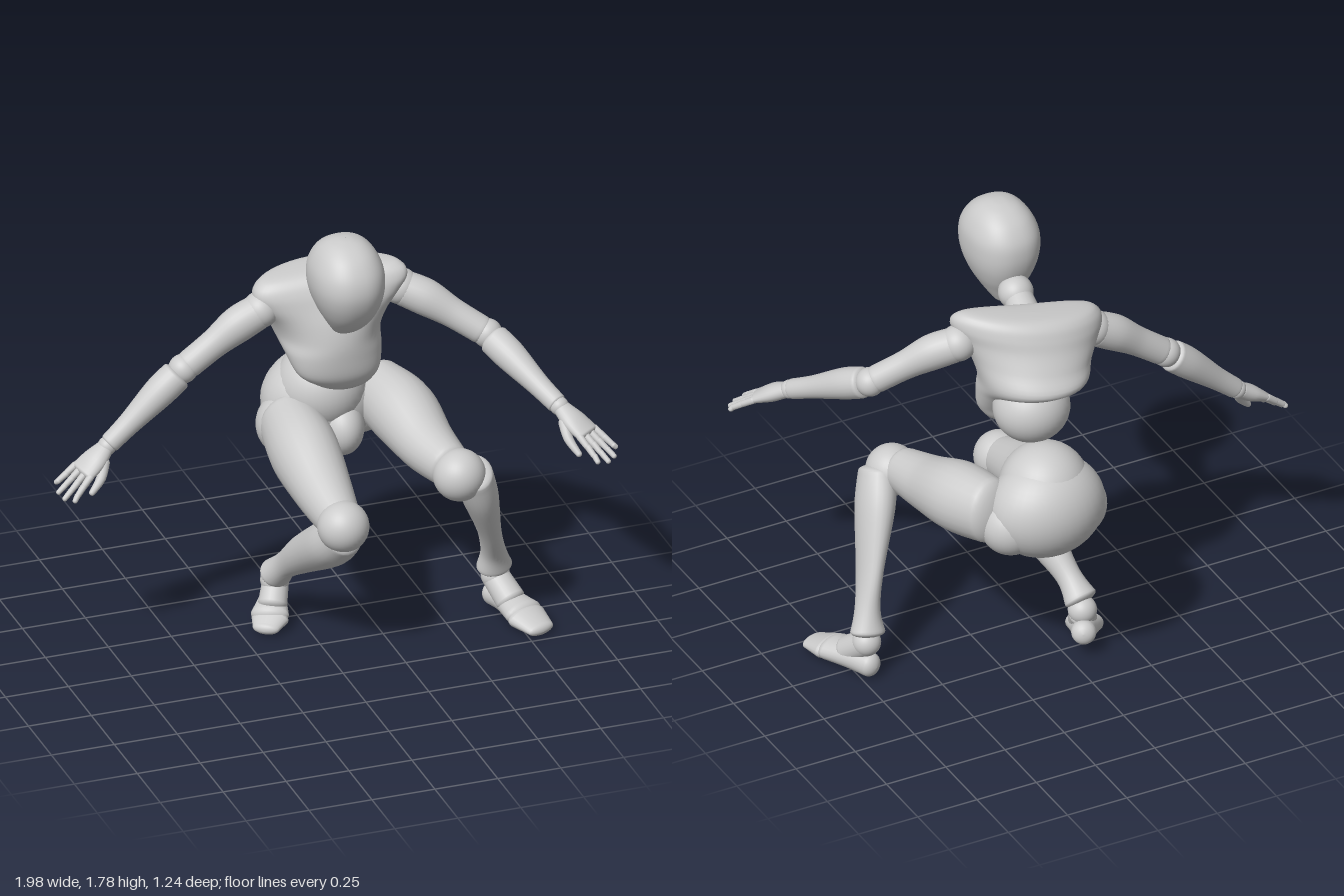
import * as THREE from 'three';

const material = new THREE.MeshStandardMaterial({ color: 0xcccccc, side: THREE.DoubleSide });
const V = (p) => new THREE.Vector3(p[0], p[1], p[2]);

// Smooth value of a list of stations (equal-length rows) at t in 0..1
function sample(rows, t) {
  const n = rows.length - 1;
  const f = Math.min(t * n, n - 1e-6);
  const i = Math.floor(f), u = f - i;
  const at = (k) => rows[Math.max(0, Math.min(n, k))];
  return rows[0].map((_, c) => {
    const p0 = at(i - 1)[c], p1 = at(i)[c], p2 = at(i + 1)[c], p3 = at(i + 2)[c];
    return 0.5 * (2 * p1 + (p2 - p0) * u + (2 * p0 - 5 * p1 + 4 * p2 - p3) * u * u
      + (3 * p1 - p0 - 3 * p2 + p3) * u * u * u);
  });
}

// Skin a list of rings { c, u, v } into one smooth closed surface; power below 1 squares the rings
function skin(name, rings, seg, power = 1, warp = () => {}) {
  const pos = [], index = [];
  const bulge = (k) => Math.sign(k) * Math.abs(k) ** power;
  rings.forEach(({ c, u, v }) => {
    for (let j = 0; j < seg; j++) {
      const a = (j / seg) * Math.PI * 2;
      const p = c.clone().addScaledVector(u, bulge(Math.cos(a))).addScaledVector(v, bulge(Math.sin(a)));
      warp(p);
      pos.push(p.x, p.y, p.z);
    }
  });
  for (let i = 0; i < rings.length - 1; i++) {
    for (let j = 0; j < seg; j++) {
      const a = i * seg + j, b = i * seg + ((j + 1) % seg);
      index.push(a, b, b + seg, a, b + seg, a + seg);
    }
  }
  const geo = new THREE.BufferGeometry();
  geo.setAttribute('position', new THREE.Float32BufferAttribute(pos, 3));
  geo.setIndex(index);
  geo.computeVertexNormals();
  const mesh = new THREE.Mesh(geo, material);
  mesh.name = name;
  return mesh;
}

// Limb: stations [x, y, z, halfWidth, halfDepth], width along `side`, with domed ends
function limb(name, stations, side = [1, 0, 0], cap = 0.5, steps = 24, seg = 24) {
  const rings = [], ref = V(side);
  const add = (t, shift, scale) => {
    const s = sample(stations, t);
    const tan = V(sample(stations, Math.min(1, t + 0.01)))
      .sub(V(sample(stations, Math.max(0, t - 0.01)))).normalize();
    const u = ref.clone().addScaledVector(tan, -ref.dot(tan)).normalize();
    const v = tan.clone().cross(u);
    const c = V(s).addScaledVector(tan, shift * cap * Math.min(s[3], s[4]));
    rings.push({ c, u: u.multiplyScalar(s[3] * scale), v: v.multiplyScalar(s[4] * scale) });
  };
  const domeSteps = 6;
  for (let k = domeSteps; k > 0; k--) {
    const a = (k / domeSteps) * Math.PI / 2;
    add(0, -Math.sin(a), Math.max(Math.cos(a), 0.001));
  }
  for (let k = 0; k <= steps; k++) add(k / steps, 0, 1);
  for (let k = 1; k <= domeSteps; k++) {
    const a = (k / domeSteps) * Math.PI / 2;
    add(1, Math.sin(a), Math.max(Math.cos(a), 0.001));
  }
  return skin(name, rings, seg);
}

// Body block from level slices [y, centreX, halfWidth, frontZ, backZ]
function slices(name, rows, power, warp) {
  const rings = [], steps = 60;
  for (let k = 0; k <= steps; k++) {
    const [y, x, w, f, b] = sample(rows, k / steps);
    rings.push({
      c: new THREE.Vector3(x, y, (f + b) / 2),
      u: new THREE.Vector3(Math.max(w, 0.001), 0, 0),
      v: new THREE.Vector3(0, 0, -Math.max((f - b) / 2, 0.001)),
    });
  }
  return skin(name, rings, 48, power, warp);
}

function ball(name, p, rx, ry = rx, rz = rx) {
  const mesh = new THREE.Mesh(new THREE.SphereGeometry(1, 36, 24), material);
  mesh.name = name;
  mesh.position.set(...p);
  mesh.scale.set(rx, ry, rz);
  return mesh;
}

// Hand: palm, four jointed fingers and a thumb on the -across side
function hand(name, wrist, tip, across) {
  const group = new THREE.Group();
  group.name = name;
  const w = V(wrist), f = V(tip).sub(w), len = f.length();
  f.normalize();
  const s = V(across);
  s.addScaledVector(f, -s.dot(f)).normalize();
  const side = s.toArray();
  const down = new THREE.Vector3().crossVectors(f, s);
  if (down.y > 0) down.negate();
  const at = (a, b, c = 0) => w.clone().addScaledVector(f, a * len).addScaledVector(s, b)
    .addScaledVector(down, c).toArray();
  group.add(limb('palm', [
    [...at(0.06, 0), 0.036, 0.03], [...at(0.28, -0.003), 0.052, 0.033], [...at(0.52, 0), 0.056, 0.022],
  ], side, 0.6, 12));
  for (let i = 0; i < 4; i++) {
    const b = (i - 1.5) * 0.029, spread = 1.4, reach = [0.95, 1.02, 1, 0.9][i];
    const joints = [0.52, 0.7, 0.85, reach];
    for (let k = 0; k < 3; k++) {
      const p = at(joints[k], b * (1 + (spread - 1) * k / 3), 0.004 * k);
      const q = at(joints[k + 1] - 0.02, b * (1 + (spread - 1) * (k + 1) / 3), 0.004 * (k + 1));
      const r = 0.0145 - k * 0.0015;
      group.add(limb('finger', [[...p, r, r], [...q, r * 0.88, r * 0.88]], side, 0.9, 3, 12));
    }
  }
  group.add(limb('thumb', [
    [...at(0.22, -0.035, 0.012), 0.022, 0.022], [...at(0.42, -0.062, 0.03), 0.019, 0.018],
    [...at(0.66, -0.07, 0.042), 0.012, 0.012],
  ], side, 0.9, 8, 14));
  return group;
}

// Arm: shoulder, upper arm, elbow, forearm and wrist
function arm(name, shoulder, elbow, wrist, tip, across) {
  const group = new THREE.Group();
  group.name = name;
  const span = (a, b, rows) => rows.map(([t, r, q, lift]) => {
    const p = V(a).lerp(V(b), t);
    return [p.x, p.y + lift, p.z, r, q];
  });
  group.add(ball('shoulder', shoulder, 0.07));
  group.add(limb('upperArm', span(shoulder, elbow,
    [[0.06, 0.066, 0.068, 0], [0.3, 0.066, 0.07, 0.01], [0.6, 0.053, 0.057, 0.006], [0.92, 0.052, 0.054, 0]]), [0, 0, 1], 0.6));
  group.add(ball('elbow', elbow, 0.056));
  group.add(limb('forearm', span(elbow, wrist,
    [[0.1, 0.06, 0.061, 0], [0.32, 0.06, 0.06, 0.003], [0.7, 0.044, 0.044, 0], [0.96, 0.039, 0.039, 0]]), [0, 0, 1], 0.35));
  group.add(ball('wrist', wrist, 0.036));
  group.add(hand('hand', wrist, tip, across));
  return group;
}

export function createModel() {
  const model = new THREE.Group();

  // Head and neck
  model.add(slices('head', [
    [1.372, 0.045, 0, 0.12, 0.12], [1.385, 0.045, 0.035, 0.165, 0.085], [1.41, 0.045, 0.055, 0.21, 0.066],
    [1.45, 0.045, 0.08, 0.262, 0.045], [1.5, 0.044, 0.107, 0.305, 0.018], [1.56, 0.042, 0.129, 0.335, -0.003],
    [1.62, 0.04, 0.138, 0.346, -0.01], [1.68, 0.04, 0.133, 0.333, 0], [1.735, 0.04, 0.108, 0.295, 0.037],
    [1.77, 0.04, 0.072, 0.246, 0.087], [1.785, 0.04, 0.032, 0.2, 0.133], [1.788, 0.04, 0, 0.167, 0.167],
  ], 0.87));
  model.add(ball('neck', [0.06, 1.48, -0.002], 0.067));
  model.add(limb('neckBase', [[0.06, 1.47, -0.02, 0.055, 0.055], [0.075, 1.42, -0.13, 0.065, 0.065]]));

  // Chest leans and turns towards its left shoulder, with the shoulders drawn forward
  model.add(slices('chest', [
    [1.008, 0.14, 0, -0.1, -0.1], [1.02, 0.138, 0.065, -0.07, -0.14], [1.05, 0.128, 0.115, -0.038, -0.165],
    [1.1, 0.11, 0.162, -0.012, -0.195], [1.18, 0.1, 0.187, -0.003, -0.28], [1.245, 0.095, 0.2, -0.005, -0.405],
    [1.32, 0.09, 0.222, -0.02, -0.37], [1.39, 0.085, 0.262, -0.045, -0.332], [1.44, 0.085, 0.285, -0.065, -0.312],
    [1.48, 0.085, 0.27, -0.09, -0.29], [1.502, 0.085, 0.21, -0.125, -0.255], [1.507, 0.085, 0, -0.19, -0.19],
  ], 0.95, (p) => {
    const rise = THREE.MathUtils.smoothstep(p.y, 1.15, 1.4);
    const d = (p.x - 0.085) * rise;
    p.y += d * 0.11;
    p.z += d * 0.19 + d * d * 0.75;
  }));

  // Abdomen, waist and pelvis
  model.add(ball('abdomen', [0.13, 1.145, -0.26], 0.147, 0.138, 0.143));
  model.add(ball('waist', [0.15, 0.878, -0.402], 0.172));
  model.add(ball('pelvis', [0.16, 0.812, -0.436], 0.23, 0.2, 0.185));
  model.add(ball('crotch', [0.195, 0.735, -0.33], 0.09, 0.115, 0.13));
  model.add(ball('leftHip', [0.305, 0.765, -0.425], 0.118));
  model.add(ball('rightHip', [0.02, 0.745, -0.38], 0.13));

  // Arms
  model.add(arm('leftArm', [0.355, 1.4, -0.1], [0.645, 1.225, 0.055], [0.81, 1.05, 0.385], [0.945, 0.915, 0.6], [0.13, 0.02, -0.11]));
  model.add(arm('rightArm', [-0.17, 1.355, -0.18], [-0.475, 1.155, -0.19], [-0.78, 0.89, -0.18], [-0.985, 0.745, -0.13], [0, 0.4, -0.9]));

  // Left leg
  model.add(limb('leftThigh', [
    [0.37, 0.82, -0.38, 0.11, 0.13], [0.41, 0.8, -0.22, 0.13, 0.137], [0.435, 0.755, -0.03, 0.11, 0.108],
    [0.465, 0.735, 0.12, 0.085, 0.088],
  ], [1, 0, 0], 0.5));
  model.add(ball('leftKnee', [0.49, 0.715, 0.175], 0.1));
  model.add(limb('leftCalf', [
    [0.545, 0.715, 0.185, 0.07, 0.085], [0.585, 0.6, 0.13, 0.07, 0.103], [0.655, 0.4, 0.038, 0.045, 0.08],
    [0.695, 0.27, -0.02, 0.047, 0.055], [0.71, 0.19, -0.05, 0.068, 0.058],
  ], [1, 0, 0], 0.4));
  model.add(ball('leftAnkle', [0.715, 0.145, -0.05], 0.055));
  model.add(limb('leftInstep', [[0.715, 0.14, -0.05, 0.053, 0.052], [0.745, 0.075, 0.03, 0.058, 0.055]]));
  model.add(limb('leftFoot', [
    [0.715, 0.058, -0.075, 0.045, 0.048], [0.742, 0.06, 0, 0.054, 0.048], [0.77, 0.052, 0.1, 0.077, 0.045],
  ], [1, 0, -0.2], 0.8));
  model.add(limb('leftToes', [[0.775, 0.044, 0.125, 0.08, 0.04], [0.8, 0.028, 0.205, 0.058, 0.024]], [1, 0, -0.2], 1));

  // Right leg, heel lifted
  model.add(limb('rightThigh', [
    [0.01, 0.76, -0.36, 0.115, 0.13], [0.005, 0.72, -0.18, 0.13, 0.145], [0.005, 0.66, 0.02, 0.11, 0.113],
    [0.01, 0.615, 0.17, 0.085, 0.09],
  ], [1, 0, 0], 0.5));
  model.add(ball('rightKnee', [0.012, 0.605, 0.22], 0.098));
  model.add(limb('rightCalf', [
    [0.012, 0.57, 0.215, 0.078, 0.085], [-0.002, 0.49, 0.12, 0.095, 0.092], [-0.04, 0.37, -0.05, 0.072, 0.074],
    [-0.072, 0.27, -0.17, 0.048, 0.052], [-0.087, 0.205, -0.24, 0.065, 0.058],
  ], [1, 0, 0], 0.4));
  model.add(ball('rightAnkle', [-0.085, 0.165, -0.26], 0.055));
  model.add(limb('rightInstep', [[-0.08, 0.155, -0.265, 0.05, 0.05], [-0.11, 0.09, -0.215, 0.055, 0.053]], [0.8, 0, 0.6]));
  model.add(limb('rightFoot', [
    [-0.06, 0.105, -0.318, 0.047, 0.047], [-0.09, 0.085, -0.265, 0.052, 0.047], [-0.128, 0.058, -0.195, 0.072, 0.044],
  ], [0.8, 0, 0.6], 0.8));
  model.add(limb('rightToes', [[-0.132, 0.045, -0.185, 0.072, 0.038], [-0.162, 0.03, -0.145, 0.052, 0.024]], [0.8, 0, 0.6], 1));

  return model;
}
